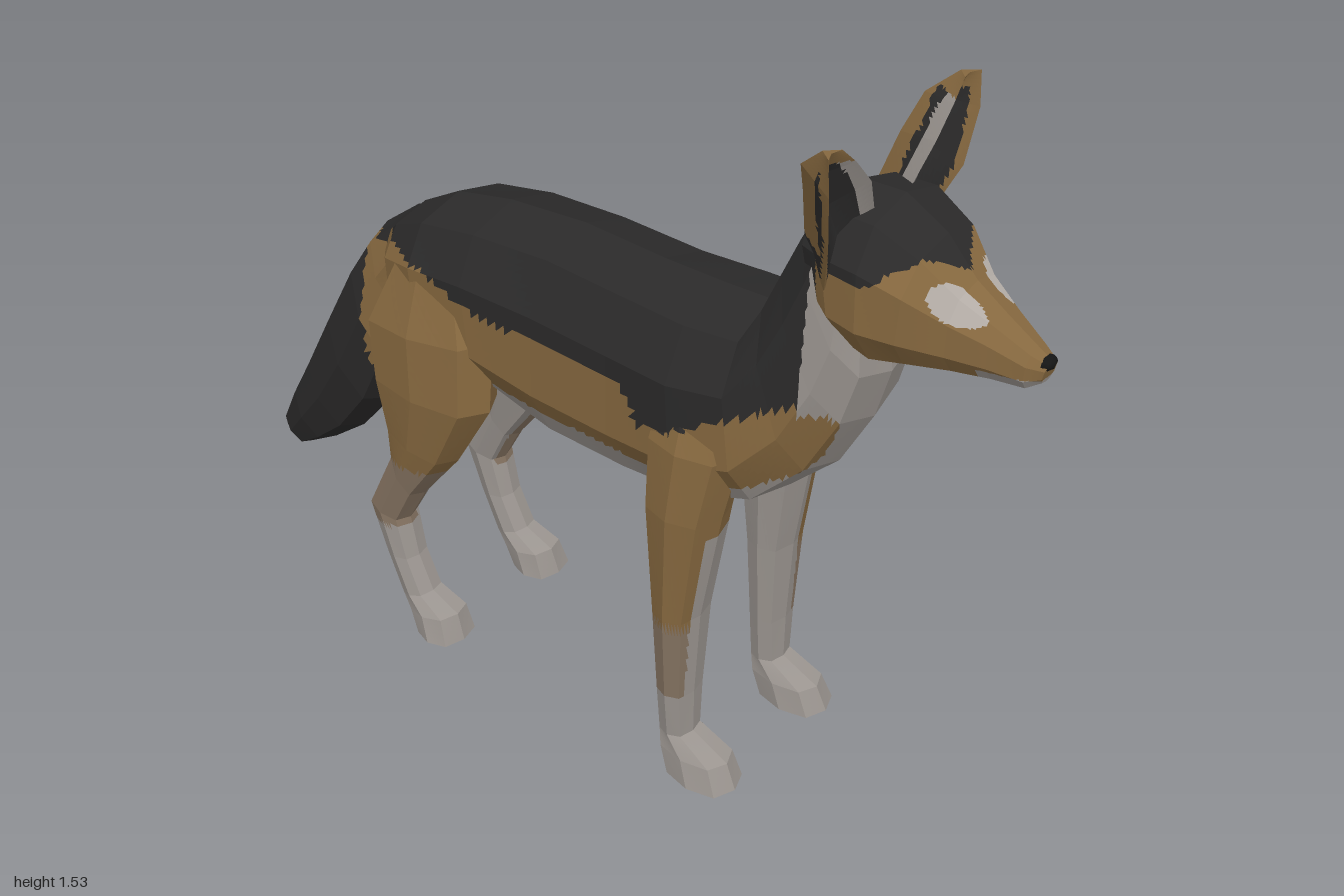
import * as THREE from 'three';

const mat = (name, color) => {
  const m = new THREE.MeshStandardMaterial({ color });
  m.name = name;
  return m;
};

// Palette indices
const DARK = 0, TAN = 1, PALE = 2, TAUPE = 3, EYE = 4, NOSE = 5;

// Closed skin through rings of points; each quad is split n x n and painted by its centre.
function loft(name, rings, materials, paint, n = 6) {
  const centre = r => r.reduce((s, p) => s.add(p), new THREE.Vector3()).divideScalar(r.length);
  const cap = r => { const c = centre(r); return r.map(() => c); };
  const all = [cap(rings[0]), ...rings, cap(rings[rings.length - 1])];
  const tris = [];
  let volume = 0;
  const add = (a, b, c) => {
    const area = b.clone().sub(a).cross(c.clone().sub(a)).length();
    if (area < 1e-8) return;
    volume += a.dot(b.clone().cross(c));
    tris.push([a, b, c]);
  };
  for (let i = 0; i < all.length - 1; i++) {
    const count = all[i].length;
    for (let j = 0; j < count; j++) {
      const k = (j + 1) % count;
      const at = (u, v) => all[i][j].clone().lerp(all[i][k], u)
        .lerp(all[i + 1][j].clone().lerp(all[i + 1][k], u), v);
      for (let a = 0; a < n; a++) for (let b = 0; b < n; b++) {
        const p = at(a / n, b / n), q = at((a + 1) / n, b / n);
        const r = at((a + 1) / n, (b + 1) / n), s = at(a / n, (b + 1) / n);
        add(p, q, r);
        add(p, r, s);
      }
    }
  }
  // Sort triangles into one group per colour, facing outward
  const buckets = materials.map(() => []);
  for (const [a, b, c] of tris) {
    const m = a.clone().add(b).add(c).divideScalar(3);
    const t = volume > 0 ? [a, b, c] : [a, c, b];
    for (const p of t) buckets[paint(Math.abs(m.x), m.y, m.z)].push(p);
  }
  const geo = new THREE.BufferGeometry().setFromPoints(buckets.flat());
  let start = 0;
  buckets.forEach((b, i) => {
    if (b.length) geo.addGroup(start, b.length, i);
    start += b.length;
  });
  geo.computeVertexNormals();
  const mesh = new THREE.Mesh(geo, materials);
  mesh.name = name;
  return mesh;
}

// Ring between two side-plane points (z, y), centred on cx with half width w
function ring([z1, y1, z2, y2, w], cx = 0, sides = 10, power = 0.8) {
  const soft = v => Math.sign(v) * Math.abs(v) ** power;
  return Array.from({ length: sides }, (_, i) => {
    const t = i / sides * Math.PI * 2, c = soft(Math.cos(t)) / 2;
    return new THREE.Vector3(cx + w * soft(Math.sin(t)),
      (y1 + y2) / 2 + (y1 - y2) * c, (z1 + z2) / 2 + (z1 - z2) * c);
  });
}

// Piecewise linear lookup through [x, y] points with rising x
function curve(points, x) {
  if (x <= points[0][0]) return points[0][1];
  for (let i = 1; i < points.length; i++) {
    const [a, p] = points[i - 1], [b, q] = points[i];
    if (x <= b) return p + (q - p) * (x - a) / (b - a);
  }
  return points[points.length - 1][1];
}

// Lower edge of the dark saddle (z, y) and half width of the pale chest (y, x)
const saddle = [[-0.6, 0.9], [-0.52, 0.93], [-0.35, 0.93], [-0.2, 0.885], [0.2, 0.875],
  [0.23, 0.81], [0.3, 0.82], [0.4, 0.88], [0.58, 0.97]];
const bib = [[0.65, 0.17], [0.74, 0.15], [0.84, 0.07], [0.92, 0.09], [1.0, 0.15]];

function paintBody(x, y, z) {
  if (z > 0.575 && y > 0.95) return PALE;
  if (y > curve(saddle, z)) return DARK;
  if (z > 0.4 && x < curve(bib, y)) return PALE;
  return y < 0.7 && z > -0.25 ? PALE : TAN;
}

function paintHead(x, y, z) {
  if (z > 0.72 && Math.hypot(x - 0.066, y - 1.243) < 0.034) return EYE;
  if (z > 0.88 && y < 1.13) return PALE;
  if (y < 1.085 && z < 0.72) return PALE;
  const brow = curve([[0, 1.28], [0.03, 1.295], [0.08, 1.315], [0.13, 1.285], [0.16, 1.25]], x);
  return y > brow || z < 0.59 ? DARK : TAN;
}

const paintTail = (x, y, z) => z > -0.62 && y < 0.88 && y > 0.56 ? TAN : DARK;

function paintFrontLeg(x, y, z) {
  if (y > curve(saddle, z)) return DARK;
  if (y < 0.2 || (z > 0.34 && x < 0.185 && y < 0.62) || (x < 0.13 && y < 0.62)) return PALE;
  return y < 0.38 ? TAUPE : TAN;
}

function paintHindLeg(x, y, z) {
  if (y > curve(saddle, z)) return DARK;
  if (y < 0.25 || (x < 0.13 && y < 0.5)) return PALE;
  return y < 0.44 ? TAUPE : TAN;
}

export function createModel() {
  const model = new THREE.Group();
  const mats = [mat('dark fur', 0x2b2a2a), mat('tan fur', 0x86683f), mat('pale fur', 0x9a948f),
    mat('taupe fur', 0x857361), mat('pale eye', 0xb3aca6), mat('nose black', 0x151515)];

  // Torso and neck, rump to nape: top z, y, bottom z, y, half width
  const body = [[-0.58, 0.9, -0.55, 0.76, 0.06], [-0.5, 0.975, -0.48, 0.71, 0.14],
    [-0.4, 1.03, -0.36, 0.68, 0.18], [-0.25, 1.06, -0.2, 0.655, 0.187],
    [-0.05, 1.075, -0.05, 0.608, 0.182], [0.15, 1.066, 0.15, 0.605, 0.187],
    [0.3, 1.066, 0.33, 0.625, 0.205], [0.42, 1.07, 0.47, 0.675, 0.195],
    [0.45, 1.14, 0.58, 0.78, 0.165], [0.48, 1.22, 0.65, 0.91, 0.148],
    [0.515, 1.3, 0.68, 1.02, 0.138], [0.55, 1.36, 0.67, 1.1, 0.13]];
  model.add(loft('body', body.map(r => ring(r)), mats, paintBody, 8));

  // Head and muzzle
  const head = [[0.53, 1.345, 0.58, 1.14, 0.12], [0.59, 1.382, 0.64, 1.085, 0.152],
    [0.68, 1.384, 0.69, 1.07, 0.157], [0.77, 1.335, 0.75, 1.083, 0.135],
    [0.835, 1.265, 0.83, 1.093, 0.09], [0.9, 1.222, 0.9, 1.1, 0.062],
    [0.965, 1.182, 0.96, 1.102, 0.04], [0.995, 1.165, 0.985, 1.12, 0.022]];
  model.add(loft('head', head.map(r => ring(r, 0, 10, 0.85)), mats, paintHead, 10));

  const nose = new THREE.Mesh(new THREE.SphereGeometry(1, 8, 6), mats[NOSE]);
  nose.name = 'nose';
  nose.scale.set(0.023, 0.014, 0.016);
  nose.position.set(0, 1.158, 0.984);
  model.add(nose);

  // Tail, root to tip
  const tail = [[-0.52, 0.96, -0.5, 0.82, 0.07], [-0.62, 0.885, -0.54, 0.7, 0.085],
    [-0.68, 0.8, -0.57, 0.56, 0.1], [-0.77, 0.64, -0.64, 0.42, 0.1],
    [-0.86, 0.48, -0.74, 0.305, 0.085], [-0.93, 0.36, -0.84, 0.23, 0.067],
    [-0.99, 0.25, -0.925, 0.18, 0.042], [-1, 0.215, -0.965, 0.18, 0.022]];
  model.add(loft('tail', tail.map(r => ring(r, 0, 8)), mats, paintTail));

  // Legs, top to paw: front z, y, back z, y, inner x, outer x
  const frontLeg = [[0.42, 0.94, 0.26, 0.92, 0.06, 0.165], [0.45, 0.8, 0.25, 0.8, 0.06, 0.216],
    [0.42, 0.65, 0.26, 0.65, 0.075, 0.229], [0.38, 0.4, 0.285, 0.4, 0.095, 0.222],
    [0.37, 0.2, 0.295, 0.2, 0.108, 0.21], [0.37, 0.095, 0.3, 0.09, 0.115, 0.202],
    [0.46, 0.055, 0.3, 0.055, 0.105, 0.214], [0.485, 0, 0.325, 0, 0.1, 0.225]];
  const hindLeg = [[-0.26, 0.95, -0.47, 0.9, 0.05, 0.165], [-0.19, 0.8, -0.525, 0.77, 0.05, 0.218],
    [-0.19, 0.64, -0.5, 0.64, 0.07, 0.228], [-0.285, 0.48, -0.465, 0.52, 0.085, 0.218],
    [-0.39, 0.35, -0.455, 0.45, 0.1, 0.208], [-0.437, 0.265, -0.535, 0.29, 0.11, 0.203],
    [-0.415, 0.17, -0.49, 0.17, 0.115, 0.2], [-0.375, 0.09, -0.445, 0.075, 0.115, 0.202],
    [-0.3, 0.06, -0.42, 0.045, 0.105, 0.214], [-0.28, 0, -0.39, 0, 0.1, 0.225]];

  // Ear levels, base to tip: inner edge, back, outer edge, hollow
  const ear = [
    [[0.05, 1.35, 0.65], [0.1, 1.29, 0.54], [0.15, 1.23, 0.62], [0.1, 1.29, 0.62]],
    [[0.1, 1.44, 0.67], [0.15, 1.41, 0.565], [0.212, 1.35, 0.665], [0.155, 1.4, 0.62]],
    [[0.15, 1.495, 0.67], [0.19, 1.48, 0.585], [0.234, 1.46, 0.675], [0.192, 1.48, 0.635]],
    [[0.188, 1.53, 0.665], [0.212, 1.53, 0.642], [0.235, 1.53, 0.67], [0.212, 1.53, 0.66]]];
  // Hollow is dark with a pale inner rim; the back is tan on the outside
  const paintEar = (x, y, z) => {
    const rim = curve([[1.29, 0.05], [1.35, 0.05], [1.44, 0.1], [1.495, 0.15], [1.53, 0.188]], y);
    const hollow = curve([[1.29, 0.62], [1.4, 0.618], [1.48, 0.633], [1.53, 0.658]], y);
    const outer = curve([[1.23, 0.15], [1.35, 0.212], [1.46, 0.234]], y);
    if (y > 1.5 || x > outer - 0.016) return TAN;
    if (z > hollow) return x < rim + 0.028 ? PALE : DARK;
    return x > rim + 0.04 && y > 1.3 ? TAN : DARK;
  };

  for (const [side, label] of [[1, 'left'], [-1, 'right']]) {
    const leg = ([z1, y1, z2, y2, a, b]) =>
      ring([z1, y1, z2, y2, (b - a) / 2], side * (a + b) / 2, 8, 0.75);
    model.add(loft(label + 'FrontLeg', frontLeg.map(leg), mats, paintFrontLeg));
    model.add(loft(label + 'HindLeg', hindLeg.map(leg), mats, paintHindLeg));
    const earRings = ear.map(r => r.map(([x, y, z]) => new THREE.Vector3(side * x, y, z)));
    model.add(loft(label + 'Ear', earRings, mats, paintEar, 8));
  }
  return model;
}
